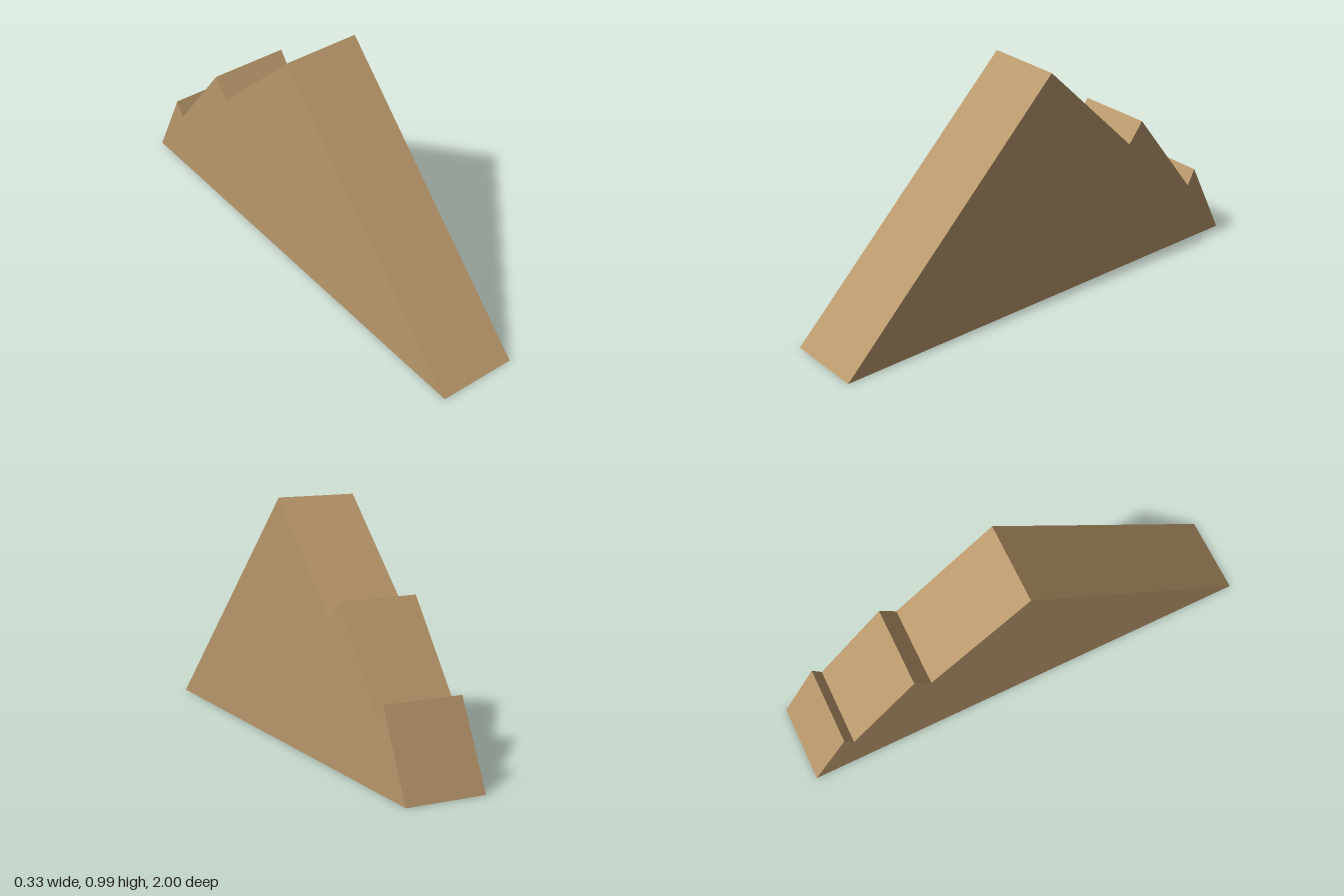
import * as THREE from 'three';

export function createModel() {
  const group = new THREE.Group();
  const tan = new THREE.MeshStandardMaterial({ color: 0xb8976b });
  tan.name = 'tan';

  // Side profile as (z, y): smooth front slope, two notches down the back
  const profile = [
    [1, 0], [0, 0.992], [-0.432, 0.567], [-0.5, 0.653],
    [-0.798, 0.265], [-0.834, 0.333], [-1, 0],
  ].map(([z, y]) => new THREE.Vector2(z, y));

  // Extrude across the width, then turn the profile to run along z
  const width = 0.334;
  const geometry = new THREE.ExtrudeGeometry(new THREE.Shape(profile), {
    depth: width,
    bevelEnabled: false,
  });
  geometry.translate(0, 0, -width / 2);
  geometry.rotateY(-Math.PI / 2);

  const wedge = new THREE.Mesh(geometry, tan);
  wedge.name = 'notchedWedge';
  group.add(wedge);
  return group;
}
